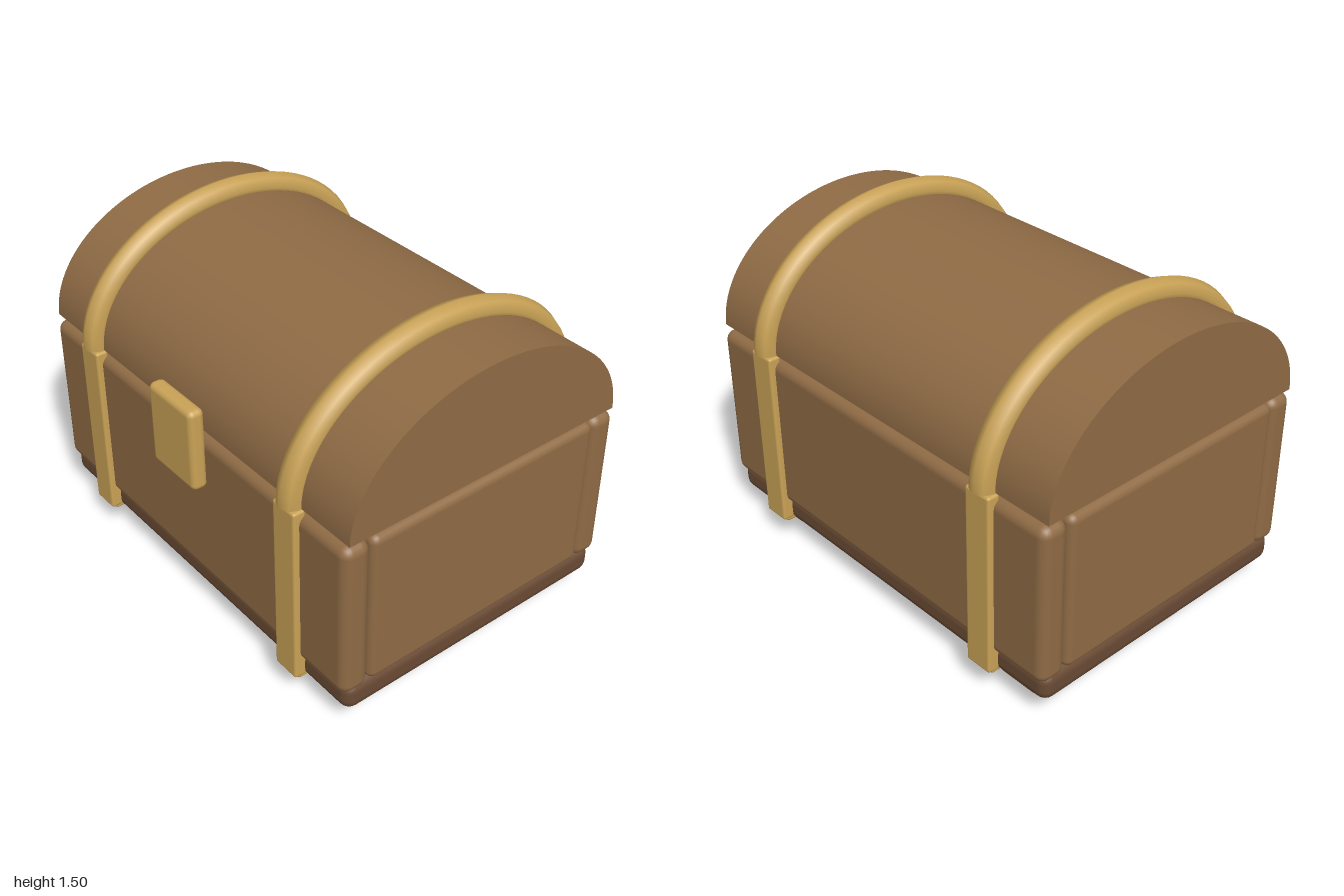
import * as THREE from 'three';
import { RoundedBoxGeometry } from 'three/addons/geometries/RoundedBoxGeometry.js';
import { toCreasedNormals } from 'three/addons/utils/BufferGeometryUtils.js';

const wood = new THREE.MeshStandardMaterial({ color: 0x8f6b45 });
const darkWood = new THREE.MeshStandardMaterial({ color: 0x694a34 });
const brass = new THREE.MeshStandardMaterial({ color: 0xc9a256 });
const brassOpen = new THREE.MeshStandardMaterial({ color: 0xc9a256, side: THREE.DoubleSide });

const MID_Z = -0.007; // the chest sits slightly behind centre because of the latch
const LID_Y = 0.94;

export function createModel() {
  const chest = new THREE.Group();
  chest.name = 'chest';

  const add = (name, geometry, material) => {
    const mesh = new THREE.Mesh(geometry, material);
    mesh.name = name;
    chest.add(mesh);
    return mesh;
  };

  // Rounded box given by its limits on each axis
  const block = (name, [x0, x1], [y0, y1], [z0, z1], radius, material) =>
    add(name, new RoundedBoxGeometry(x1 - x0, y1 - y0, z1 - z0, 3, radius), material)
      .position.set((x0 + x1) / 2, (y0 + y1) / 2, (z0 + z1) / 2);

  // Span mirrored front to back about the middle of the chest
  const span = (side, near, far) =>
    side > 0 ? [MID_Z + near, MID_Z + far] : [MID_Z - far, MID_Z - near];

  // Base slab and wall panels
  block('base', [-0.99, 0.99], [0.1, 0.235], [MID_Z - 0.67, MID_Z + 0.67], 0.05, darkWood);
  block('frontPanel', [-0.995, 0.995], [0.205, 0.92], span(1, 0.565, 0.692), 0.045, wood);
  block('backPanel', [-0.995, 0.995], [0.205, 0.92], span(-1, 0.565, 0.692), 0.045, wood);
  block('leftPanel', [0.87, 1], [0.22, 0.92], [MID_Z - 0.567, MID_Z + 0.567], 0.035, wood);
  block('rightPanel', [-1, -0.87], [0.22, 0.92], [MID_Z - 0.567, MID_Z + 0.567], 0.035, wood);

  // Domed lid: half ellipse extruded along x
  const dome = new THREE.Shape();
  dome.absellipse(0, 0, 0.672, 0.49, 0, Math.PI, false, 0);
  dome.closePath();
  const lid = new THREE.ExtrudeGeometry(dome, { depth: 1.984, bevelEnabled: false, curveSegments: 32 });
  lid.translate(0, 0, -0.992).rotateY(Math.PI / 2);
  add('lid', toCreasedNormals(lid, 0.6), wood).position.set(0, LID_Y, MID_Z);

  // Half-elliptical path for the bands over the lid
  class Arch extends THREE.Curve {
    getPoint(t, target = new THREE.Vector3()) {
      const a = t * Math.PI;
      return target.set(0, 0.505 * Math.sin(a), 0.68 * Math.cos(a));
    }
  }
  const bandGeometry = new THREE.TubeGeometry(new Arch(), 40, 0.055, 8, false);

  for (const sx of [-1, 1]) {
    const x = sx * 0.67;
    add('lidBand', bandGeometry, brassOpen).position.set(x, LID_Y, MID_Z);
    for (const sz of [-1, 1]) {
      // Wall strap with a short hook under the base, and a foot
      block('strap', [x - 0.064, x + 0.064], [0.12, 0.94], span(sz, 0.66, 0.718), 0.012, brass);
      block('strapHook', [x - 0.06, x + 0.06], [0.104, 0.15], span(sz, 0.63, 0.698), 0.012, brass);
      block('foot', [sx * 0.76 - 0.128, sx * 0.76 + 0.128], [0, 0.13], span(sz, 0.338, 0.598), 0.05, wood);
    }
  }

  // Latch plate
  block('latch', [-0.146, 0.146], [0.69, 1.066], [0.676, 0.748], 0.026, brass);

  return chest;
}
